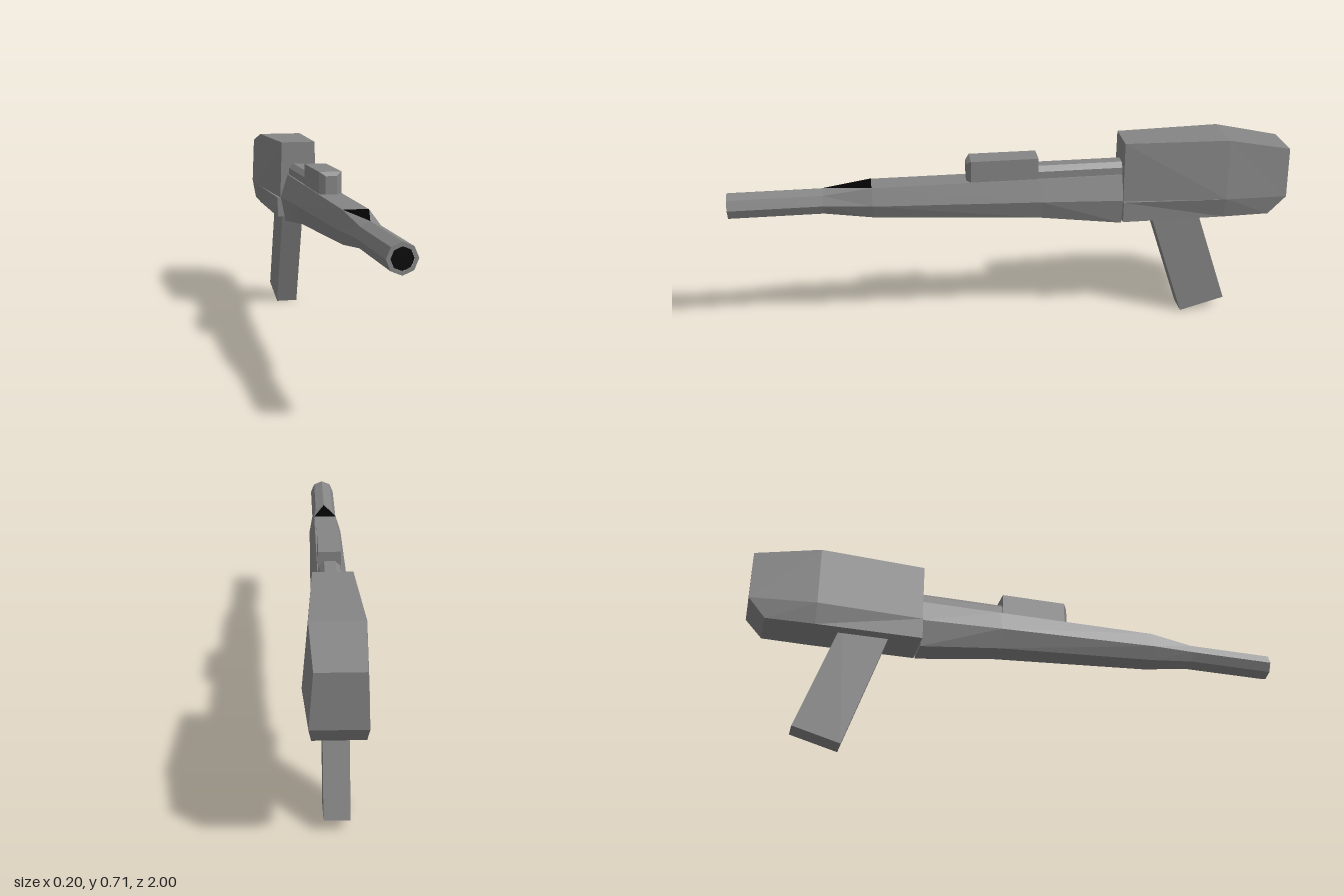
import * as THREE from 'three';

const CX = -0.005; // shared centre line
const grey = () => new THREE.MeshStandardMaterial({ color: 0x858585, flatShading: true });
const dark = () => new THREE.MeshStandardMaterial({ color: 0x030303 });

// Skins cross-sections listed front to back, each counter-clockwise seen from the front.
function loft(name, rings, capFront = true) {
  const pos = [];
  const tri = (...pts) => pts.forEach((p) => pos.push(...p));
  const n = rings[0].length;
  for (let r = 0; r < rings.length - 1; r++) {
    const a = rings[r], b = rings[r + 1];
    for (let i = 0; i < n; i++) {
      const j = (i + 1) % n;
      // diagonals mirror from one side to the other
      if (i < n / 2) { tri(a[i], b[i], b[j]); tri(a[i], b[j], a[j]); }
      else { tri(a[i], b[i], a[j]); tri(b[i], b[j], a[j]); }
    }
  }
  const first = rings[0], last = rings[rings.length - 1];
  for (let i = 1; i < n - 1; i++) {
    if (capFront) tri(first[0], first[i], first[i + 1]);
    tri(last[0], last[i + 1], last[i]);
  }
  const geo = new THREE.BufferGeometry();
  geo.setAttribute('position', new THREE.Float32BufferAttribute(pos, 3));
  geo.computeVertexNormals();
  const mesh = new THREE.Mesh(geo, grey());
  mesh.name = name;
  return mesh;
}

// Four-cornered section: top half width and height, bottom half width and height, centres
const quad = (z, tw, ty, bw, by, tc = CX, bc = CX) => [
  [tc + tw, ty, z], [tc - tw, ty, z], [bc - bw, by, z], [bc + bw, by, z],
];

// Eight-point section with flat top and bottom and pointed sides
const bodyRing = (z, tw, ty, sw, sy, bw, by) => [
  [0, ty], [-tw, ty], [-sw, sy], [-bw, by], [0, by], [bw, by], [sw, sy], [tw, ty],
].map(([x, y]) => [CX + x, y, z]);

const BORE_Y = 0.522;
const octagon = (z, r) => Array.from({ length: 8 }, (_, i) => {
  const a = Math.PI / 2 + (i * Math.PI) / 4;
  return [CX + r * Math.cos(a), BORE_Y + r * Math.sin(a), z];
});

export function createModel() {
  const model = new THREE.Group();

  // Barrel flowing back into the tapered fore body
  model.add(loft('barrelAndForeBody', [
    octagon(1, 0.048),
    octagon(0.67, 0.048),
    bodyRing(0.5, 0.043, 0.579, 0.062, 0.517, 0.043, 0.467),
    bodyRing(-0.1, 0.043, 0.579, 0.068, 0.5, 0.047, 0.43),
    bodyRing(-0.396, 0.043, 0.579, 0.071, 0.49, 0.053, 0.394),
  ], false));

  // Muzzle rim and dark bore
  const rim = new THREE.Mesh(new THREE.RingGeometry(0.035, 0.048, 8, 1, Math.PI / 2), grey());
  rim.name = 'muzzleRim';
  rim.position.set(CX, BORE_Y, 1);
  const bore = new THREE.Mesh(new THREE.CircleGeometry(0.035, 8, Math.PI / 2), dark());
  bore.name = 'bore';
  bore.position.set(CX, BORE_Y, 0.999);
  model.add(rim, bore);

  // Dark triangular vent where the barrel meets the body
  const ventGeo = new THREE.BufferGeometry();
  ventGeo.setAttribute('position', new THREE.Float32BufferAttribute([
    CX, 0.571, 0.67, CX + 0.043, 0.58, 0.5, CX - 0.043, 0.58, 0.5,
  ], 3));
  ventGeo.computeVertexNormals();
  const vent = new THREE.Mesh(ventGeo, dark());
  vent.name = 'vent';
  model.add(vent);

  // Sight block with bevelled nose
  model.add(loft('sightBlock', [
    quad(0.165, 0.02, 0.643, 0.02, 0.575),
    quad(0.15, 0.04, 0.657, 0.04, 0.575),
    quad(-0.09, 0.04, 0.657, 0.04, 0.575),
  ]));

  // Rail between sight and housing
  model.add(loft('rail', [-0.08, -0.42].map((z) => [
    [0.037, 0.605], [0.02, 0.622], [-0.02, 0.622], [-0.037, 0.605], [-0.037, 0.575], [0.037, 0.575],
  ].map(([x, y]) => [CX + x, y, z]))));

  // Rear housing, upper shell
  model.add(loft('upperHousing', [
    quad(-0.395, 0.066, 0.707, 0.073, 0.488),
    quad(-0.77, 0.0855, 0.707, 0.101, 0.488, -0.006, -0.001),
    quad(-1, 0.075, 0.66, 0.086, 0.48, -0.006, -0.003),
  ]));

  // Rear housing, lower shell with a ledge at the front and a chamfered tail
  model.add(loft('lowerHousing', [
    quad(-0.395, 0.084, 0.488, 0.084, 0.411),
    quad(-0.77, 0.101, 0.488, 0.085, 0.411, -0.001),
    quad(-0.94, 0.0899, 0.4821, 0.08, 0.411, -0.0025),
    quad(-1, 0.086, 0.48, 0.086, 0.48, -0.003, -0.003),
  ]));

  // Slanted grip
  const gripShape = new THREE.Shape([
    [0.497, 0.45], [0.673, 0.45], [0.814, 0.046], [0.648, 0],
  ].map(([x, y]) => new THREE.Vector2(x, y)));
  const gripGeo = new THREE.ExtrudeGeometry(gripShape, { depth: 0.084, bevelEnabled: false });
  gripGeo.translate(0, 0, -0.042).rotateY(Math.PI / 2);
  const grip = new THREE.Mesh(gripGeo, grey());
  grip.name = 'grip';
  grip.position.x = CX;
  model.add(grip);

  return model;
}
